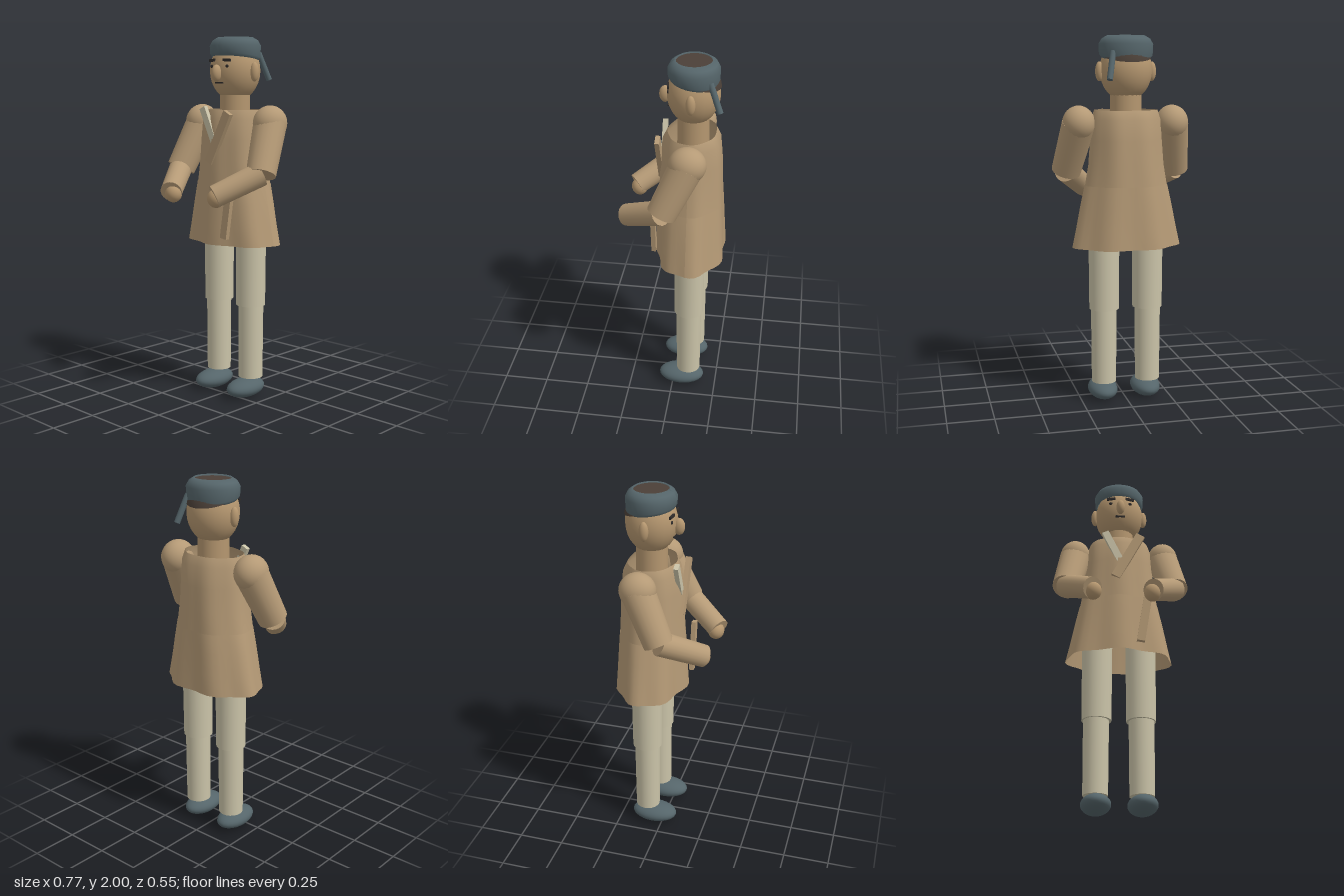
import * as THREE from 'three';

const mat = (name, color, side = THREE.FrontSide) => {
  const m = new THREE.MeshStandardMaterial({ color, side });
  m.name = name;
  return m;
};

export function createModel() {
  const robe = mat('tan cloth', 0xb59a76, THREE.DoubleSide);
  const skin = mat('skin', 0xb4966f);
  const cream = mat('cream cloth', 0xcac3a8);
  const slate = mat('dark slate', 0x55656a, THREE.DoubleSide);
  const hairMat = mat('dark brown hair', 0x4b4038);
  const ink = mat('face ink', 0x2f2c2b);

  const model = new THREE.Group();
  model.name = 'robedFigure';
  const Z = -0.09; // body axis
  const V = (x, y, z) => new THREE.Vector3(x, y, z);
  const UP = V(0, 1, 0);

  const add = (name, geo, material, x = 0, y = 0, z = 0) => {
    const mesh = new THREE.Mesh(geo, material);
    mesh.name = name;
    mesh.position.set(x, y, z);
    model.add(mesh);
    return mesh;
  };
  const ellipsoid = (name, material, x, y, z, rx, ry, rz) =>
    add(name, new THREE.SphereGeometry(1, 24, 16).scale(rx, ry, rz), material, x, y, z);
  // tapered cylinder from a (radius ra) to b (radius rb)
  const limb = (name, material, a, b, ra, rb) => {
    const c = a.clone().add(b).multiplyScalar(0.5);
    const mesh = add(name, new THREE.CylinderGeometry(rb, ra, a.distanceTo(b), 20), material, c.x, c.y, c.z);
    mesh.quaternion.setFromUnitVectors(UP, b.clone().sub(a).normalize());
    return mesh;
  };
  // flat strip in the front plane
  const strip = (name, material, x1, y1, x2, y2, z, width) => {
    const len = Math.hypot(x2 - x1, y2 - y1);
    const mesh = add(name, new THREE.BoxGeometry(width, len, 0.025), material, (x1 + x2) / 2, (y1 + y2) / 2, z);
    mesh.rotation.z = Math.atan2(x1 - x2, y1 - y2) * -1;
    return mesh;
  };

  // Robe: open tube of pleated oval sections [y, rx, rz, pleat depth]
  const robeTube = (name, rings) => {
    const n = 42, pos = [], idx = [];
    rings.forEach(([y, rx, rz, d], r) => {
      for (let i = 0; i <= n; i++) {
        const t = (i / n) * Math.PI * 2;
        const k = 1 - d * Math.sin(7 * t);
        pos.push(rx * Math.cos(t) * (1 + (k - 1) * 0.5), y, Z + 0.005 + rz * Math.sin(t) * k);
        if (r && i < n) {
          const a = (r - 1) * (n + 1) + i, b = a + n + 1;
          idx.push(a, a + 1, b, b, a + 1, b + 1);
        }
      }
    });
    const g = new THREE.BufferGeometry();
    g.setAttribute('position', new THREE.Float32BufferAttribute(pos, 3));
    g.setIndex(idx);
    g.computeVertexNormals();
    return add(name, g, robe);
  };
  robeTube('robeBody', [
    [1.61, 0.172, 0.128, 0.02], [1.56, 0.188, 0.152, 0.025], [1.45, 0.195, 0.162, 0.03],
    [1.32, 0.205, 0.167, 0.035], [1.20, 0.225, 0.172, 0.035]]);
  robeTube('robeSkirt', [
    [1.21, 0.226, 0.173, 0.035], [1.1, 0.25, 0.178, 0.045], [0.98, 0.273, 0.183, 0.055], [0.875, 0.295, 0.188, 0.065]]);

  // Lapels and hanging sash end
  strip('rightLapel', cream, -0.09, 1.62, 0.005, 1.42, 0.068, 0.04);
  strip('leftLapel', robe, 0.112, 1.597, -0.03, 1.325, 0.083, 0.053);
  strip('sashEnd', robe, 0.15, 1.2, 0.107, 0.92, 0.107, 0.045);

  // Arms, legs and shoes
  for (const [s, side] of [[1, 'left'], [-1, 'right']]) {
    const elbow = V(s * 0.305, 1.275, 0.035);
    ellipsoid(side + 'Shoulder', robe, s * 0.257, 1.54, Z, 0.088, 0.095, 0.098);
    limb(side + 'UpperSleeve', robe, V(s * 0.257, 1.535, Z), elbow, 0.09, 0.08);
    limb(side + 'Forearm', robe, V(s * 0.305, 1.28, 0.035), V(s * 0.165, 1.165, 0.243), 0.066, 0.06);
    ellipsoid(side + 'Hand', skin, s * 0.163, 1.155, 0.228, 0.048, 0.05, 0.046);

    limb(side + 'UpperLeg', cream, V(s * 0.122, 0.525, Z), V(s * 0.122, 0.98, Z), 0.082, 0.085);
    limb(side + 'LowerLeg', cream, V(s * 0.124, 0.11, Z), V(s * 0.124, 0.56, Z), 0.068, 0.071);
    ellipsoid(side + 'Shoe', slate, s * 0.123, 0.053, -0.05, 0.081, 0.052, 0.13);

    // Ears and face details
    ellipsoid(side + 'Ear', skin, s * 0.143, 1.813, Z, 0.023, 0.052, 0.025);
    ellipsoid(side + 'Eye', ink, s * 0.056, 1.843, 0.034, 0.012, 0.009, 0.005);
    const brow = add(side + 'Brow', new THREE.BoxGeometry(0.05, 0.015, 0.009), ink, s * 0.055, 1.875, 0.034);
    brow.rotation.set(0, s * 0.15, s * -0.06);
  }

  // Neck and head
  limb('neck', skin, V(0, 1.52, Z), V(0, 1.72, Z), 0.085, 0.083);
  ellipsoid('head', skin, 0, 1.82, Z, 0.14, 0.165, 0.138);
  ellipsoid('nose', skin, 0, 1.806, 0.057, 0.025, 0.045, 0.031);
  add('mouth', new THREE.BoxGeometry(0.055, 0.009, 0.009), ink, 0, 1.755, 0.036);

  // Hair under the cap, tilted towards the nape
  const hair = add('hair', new THREE.SphereGeometry(1, 24, 10, 0, Math.PI * 2, 0, 1.12).scale(0.144, 0.17, 0.141), hairMat, 0, 1.82, Z);
  hair.rotation.x = -0.25;
  add('hairCrown', new THREE.CylinderGeometry(0.102, 0.102, 0.008, 24), hairMat, 0, 1.988, Z);

  // Cap band, lower at the back
  const profile = [[0.132, 1.885], [0.143, 1.9], [0.146, 1.955], [0.13, 1.983], [0.102, 2.0], [0.098, 1.985]];
  const band = new THREE.LatheGeometry(profile.map(p => new THREE.Vector2(...p)), 28).scale(1, 1, 0.92);
  const p = band.attributes.position;
  for (let i = 0; i < p.count; i++) {
    if (p.getY(i) < 1.92) p.setY(i, p.getY(i) + p.getZ(i) * 0.13);
  }
  band.computeVertexNormals();
  add('capBand', band, slate, 0, 0, Z);
  limb('capTie', slate, V(0.12, 1.77, -0.237), V(0.09, 1.915, -0.182), 0.016, 0.016);

  return model;
}
